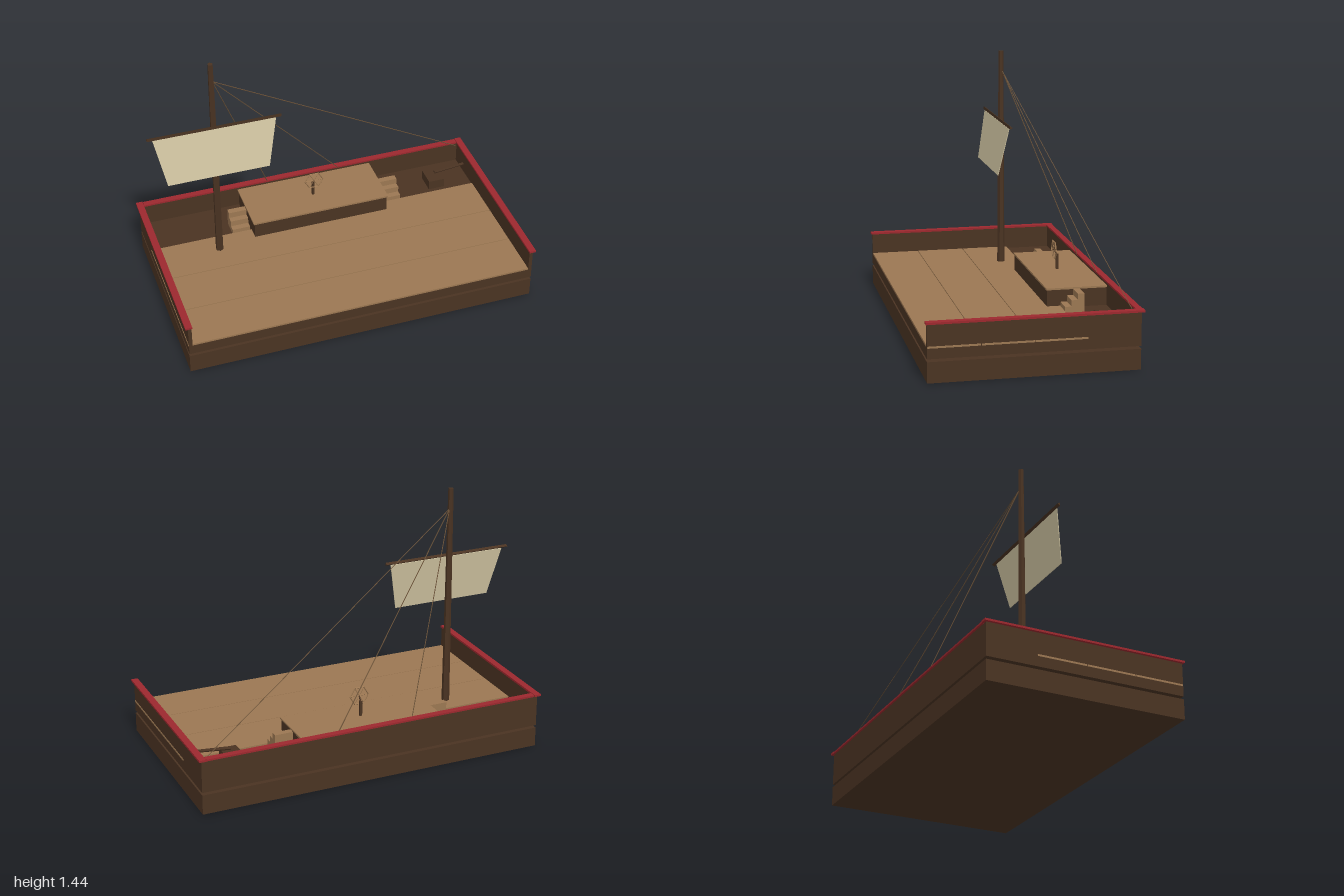
import * as THREE from 'three';

const material = (name, color) => {
  const m = new THREE.MeshStandardMaterial({ color, flatShading: true });
  m.name = name;
  return m;
};

export function createModel() {
  const ship = new THREE.Group();
  ship.name = 'sailingShip';
  const darkWood = material('darkWood', 0x4a3322);
  const deckWood = material('deckWood', 0x9b7752);
  const redPaint = material('redPaint', 0x9c282e);
  const canvas = material('canvas', 0xd2c6a3);
  const ropeFibre = material('ropeFibre', 0x6b5238);
  canvas.side = THREE.DoubleSide;

  const add = (name, geometry, mat, parent = ship) => {
    const mesh = new THREE.Mesh(geometry, mat);
    mesh.name = name;
    parent.add(mesh);
    return mesh;
  };
  // Box given by its lower and upper limits on each axis
  const box = (name, mat, x0, x1, y0, y1, z0, z1, parent = ship) => {
    const mesh = add(name, new THREE.BoxGeometry(x1 - x0, y1 - y0, z1 - z0), mat, parent);
    mesh.position.set((x0 + x1) / 2, (y0 + y1) / 2, (z0 + z1) / 2);
    return mesh;
  };
  // Straight rod between two points
  const rod = (name, mat, a, b, r0, r1, sides, parent = ship) => {
    const from = new THREE.Vector3(...a), to = new THREE.Vector3(...b);
    const dir = to.clone().sub(from);
    const mesh = add(name, new THREE.CylinderGeometry(r1, r0, dir.length(), sides), mat, parent);
    mesh.position.copy(from).add(to).multiplyScalar(0.5);
    mesh.quaternion.setFromUnitVectors(new THREE.Vector3(0, 1, 0), dir.normalize());
    return mesh;
  };

  // Hull: two layers with an open slit between them, open at the front
  box('lowerHull', darkWood, -0.985, 0.985, 0, 0.11, -0.55, 0.55);
  box('upperHull', darkWood, -0.985, 0.985, 0.125, 0.18, -0.55, 0.55);
  box('backWall', darkWood, -0.965, 0.965, 0.18, 0.305, -0.55, -0.53);
  box('backRail', redPaint, -0.96, 0.96, 0.305, 0.315, -0.56, -0.525);
  for (const [side, s] of [['left', 1], ['right', -1]]) {
    const span = (a, b) => (s > 0 ? [a, b] : [-b, -a]);
    box(side + 'Wall', darkWood, ...span(0.965, 0.985), 0.18, 0.305, -0.55, 0.55);
    box(side + 'Rail', redPaint, ...span(0.962, 1), 0.305, 0.316, -0.563, 0.557);

    // Stairs beside the raised deck, climbing towards the back
    const stairs = new THREE.Group();
    stairs.name = side + 'Stairs';
    ship.add(stairs);
    for (let i = 0; i < 3; i++) {
      box('step', deckWood, ...span(0.407, 0.51), 0.18 + i * 0.034, 0.214 + i * 0.034,
        -0.378, -0.272 - i * 0.035, stairs);
    }
  }

  // Deck planks, separated by narrow seams
  for (let i = 0; i < 3; i++) {
    const z = -0.275 + i * 0.275;
    box('deckPlank', deckWood, -0.987, 0.987, 0.18, 0.19, z + 0.002, z + 0.273);
  }

  // Raised deck
  box('raisedDeckBody', darkWood, -0.398, 0.398, 0.18, 0.28, -0.53, -0.2);
  box('raisedDeckTop', deckWood, -0.405, 0.405, 0.28, 0.29, -0.53, -0.195);

  // Mast, yard and sail
  rod('mast', darkWood, [-0.618, 0.18, -0.165], [-0.618, 1.44, -0.165], 0.022, 0.0145, 6);
  const yard = add('yard', new THREE.CylinderGeometry(0.01, 0.01, 0.745, 3, 1, false, Math.PI), darkWood);
  yard.rotation.z = Math.PI / 2;
  yard.position.set(-0.617, 1.05, -0.143);

  const sailShape = new THREE.Shape([[-0.342, 0], [-0.285, -0.28], [0.285, -0.28], [0.342, 0]]
    .map(([x, y]) => new THREE.Vector2(x, y)));
  const sail = add('sail', new THREE.ExtrudeGeometry(sailShape, { depth: 0.004, bevelEnabled: false }), canvas);
  sail.position.set(-0.617, 1.04, -0.141);
  sail.rotation.x = -0.185;

  // Rigging from the mast to the back rail
  for (const [x, z] of [[-0.22, -0.53], [0.215, -0.53], [0.95, -0.515]]) {
    rod('riggingRope', ropeFibre, [-0.61, 1.325, -0.17], [x, 0.3, z], 0.0025, 0.0025, 4);
  }

  // Steering wheel on its post
  box('wheelPost', darkWood, -0.007, 0.007, 0.29, 0.375, -0.36, -0.346);
  rod('wheelAxle', darkWood, [0, 0.37, -0.353], [0, 0.4, -0.335], 0.004, 0.004, 6);
  const wheel = new THREE.Group();
  wheel.name = 'steeringWheel';
  wheel.position.set(0, 0.4, -0.335);
  ship.add(wheel);
  add('wheelRim', new THREE.TorusGeometry(0.054, 0.004, 4, 6), deckWood, wheel);
  for (let i = 0; i < 3; i++) {
    const a = (i * Math.PI) / 3, x = 0.054 * Math.cos(a), y = 0.054 * Math.sin(a);
    rod('wheelSpoke', deckWood, [-x, -y, 0], [x, y, 0], 0.002, 0.002, 4, wheel);
  }

  // Cannon in the back corner
  box('cannonBase', darkWood, 0.705, 0.8, 0.18, 0.235, -0.425, -0.308);
  rod('cannonBarrel', darkWood, [0.758, 0.254, -0.367], [0.943, 0.272, -0.367], 0.01, 0.008, 6);

  return ship;
}
